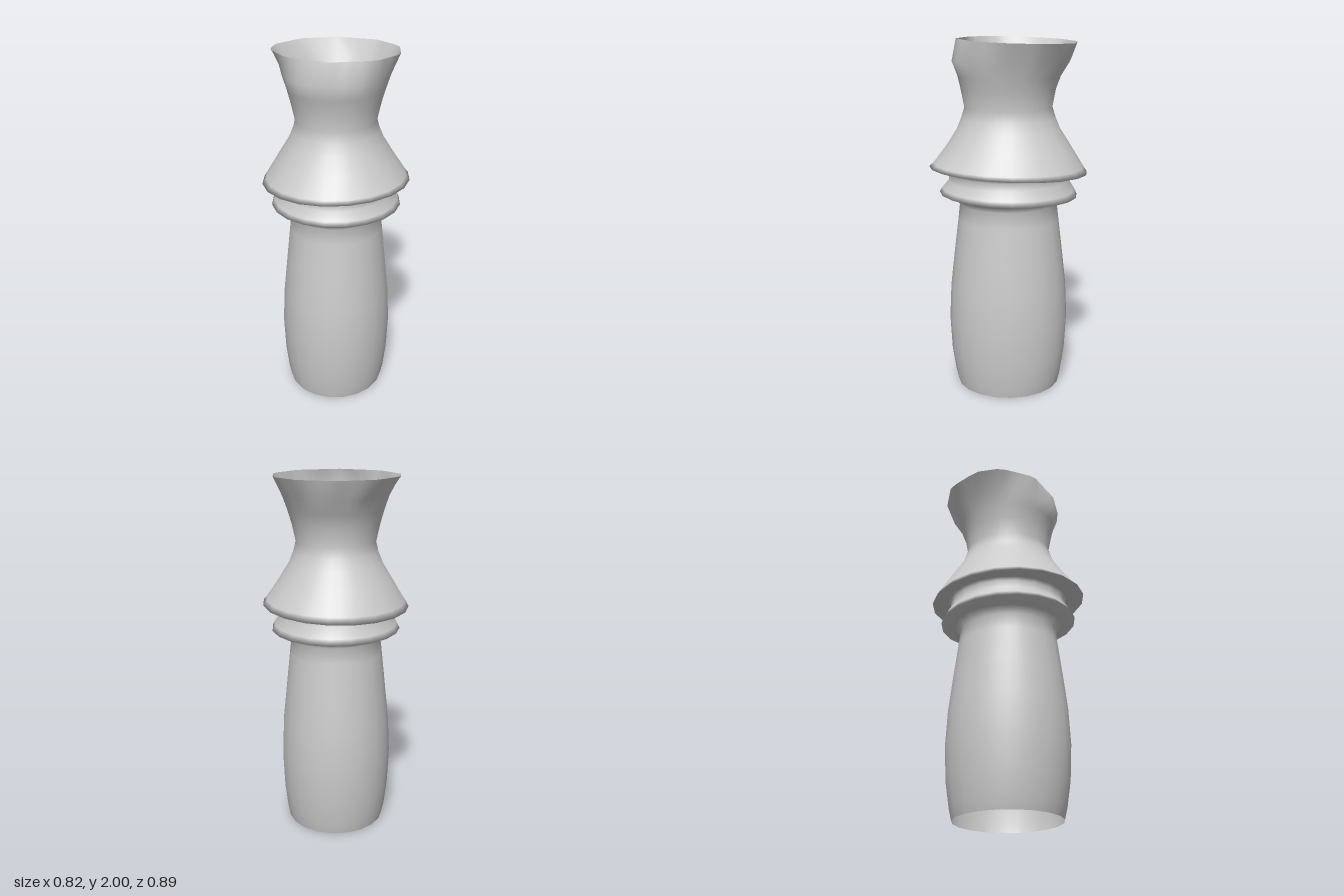
import * as THREE from 'three';

const SIDES = 40; // a 20-gon with the middle of each side added

// Cross-sections from foot to collar: height, half width x, half depth z, z shift, tilt along x, tilt along z
const SECTIONS = [
  [0.00, 0.275, 0.298], [0.06, 0.288, 0.312], [0.20, 0.305, 0.333], [0.40, 0.314, 0.343],
  [0.60, 0.305, 0.333], [0.80, 0.284, 0.310], [1.00, 0.263, 0.285], [1.09, 0.252, 0.275],
  [1.125, 0.285, 0.31],                                                     // under the lower ring
  [1.145, 0.36, 0.388, 0, 0, 0.03], [1.175, 0.345, 0.372, 0, 0, 0.02],      // lower ring lip
  [1.225, 0.308, 0.335], [1.265, 0.308, 0.335], [1.285, 0.315, 0.345],
  [1.282, 0.408, 0.443, 0, 0.03, 0.045], [1.31, 0.388, 0.42, 0, 0.02, 0.03], // skirt lip
  [1.42, 0.318, 0.345], [1.51, 0.262, 0.287], [1.57, 0.237, 0.262],
  [1.63, 0.222, 0.243], [1.73, 0.244, 0.262], [1.80, 0.264, 0.283, -0.005],
  [1.88, 0.29, 0.323, -0.015],
];

// Uneven ten-cornered rim, as x, z pairs in order around the axis
const RIM = [
  [0.34, 0.025], [0.235, 0.2], [0.005, 0.285], [-0.23, 0.2], [-0.35, 0.02],
  [-0.35, -0.125], [-0.24, -0.305], [-0.04, -0.383], [0.175, -0.34], [0.315, -0.19],
];

// Point where a ray from the axis crosses the rim polygon
function rimPoint(angle) {
  const dx = Math.cos(angle), dz = Math.sin(angle);
  for (let k = 0; k < RIM.length; k++) {
    const [ax, az] = RIM[k], [bx, bz] = RIM[(k + 1) % RIM.length];
    const ca = dx * az - dz * ax, cb = dx * bz - dz * bx;
    if (ca <= 0 && cb > 0 && ax * dx + az * dz > 0) {
      const t = ca / (ca - cb);
      return [ax + (bx - ax) * t, az + (bz - az) * t];
    }
  }
  return [dx * 0.33, dz * 0.33];
}

// Smooth open skin through closed loops of points
function loft(loops) {
  const index = [];
  for (let i = 0; i < loops.length - 1; i++) {
    for (let j = 0; j < SIDES; j++) {
      const n = (j + 1) % SIDES;
      const a = i * SIDES + j, b = i * SIDES + n, c = a + SIDES, d = b + SIDES;
      index.push(a, c, b, b, c, d);
    }
  }
  const geometry = new THREE.BufferGeometry();
  geometry.setAttribute('position', new THREE.Float32BufferAttribute(loops.flat(2), 3));
  geometry.setIndex(index);
  geometry.computeVertexNormals();
  return geometry;
}

export function createModel() {
  const group = new THREE.Group();
  group.name = 'turnedTube';

  const angles = Array.from({ length: SIDES }, (_, j) => (j / SIDES) * Math.PI * 2);
  const loops = SECTIONS.map(([y, rx, rz, cz = 0, tiltX = 0, tiltZ = 0]) =>
    angles.map((a, j) => {
      const flat = j % 2 ? Math.cos(Math.PI / 20) : 1;
      const x = rx * flat * Math.cos(a), z = rz * flat * Math.sin(a);
      return [x, y + tiltX * x + tiltZ * z, z + cz];
    }));

  // Rim, a little lower at the back
  loops.push(angles.map((a) => {
    const [x, z] = rimPoint(a);
    return [x, 1.991 + 0.03 * z, z];
  }));

  const material = new THREE.MeshStandardMaterial({ color: 0xcccccc, side: THREE.DoubleSide });
  const shell = new THREE.Mesh(loft(loops), material);
  shell.name = 'shell';
  group.add(shell);
  return group;
}
